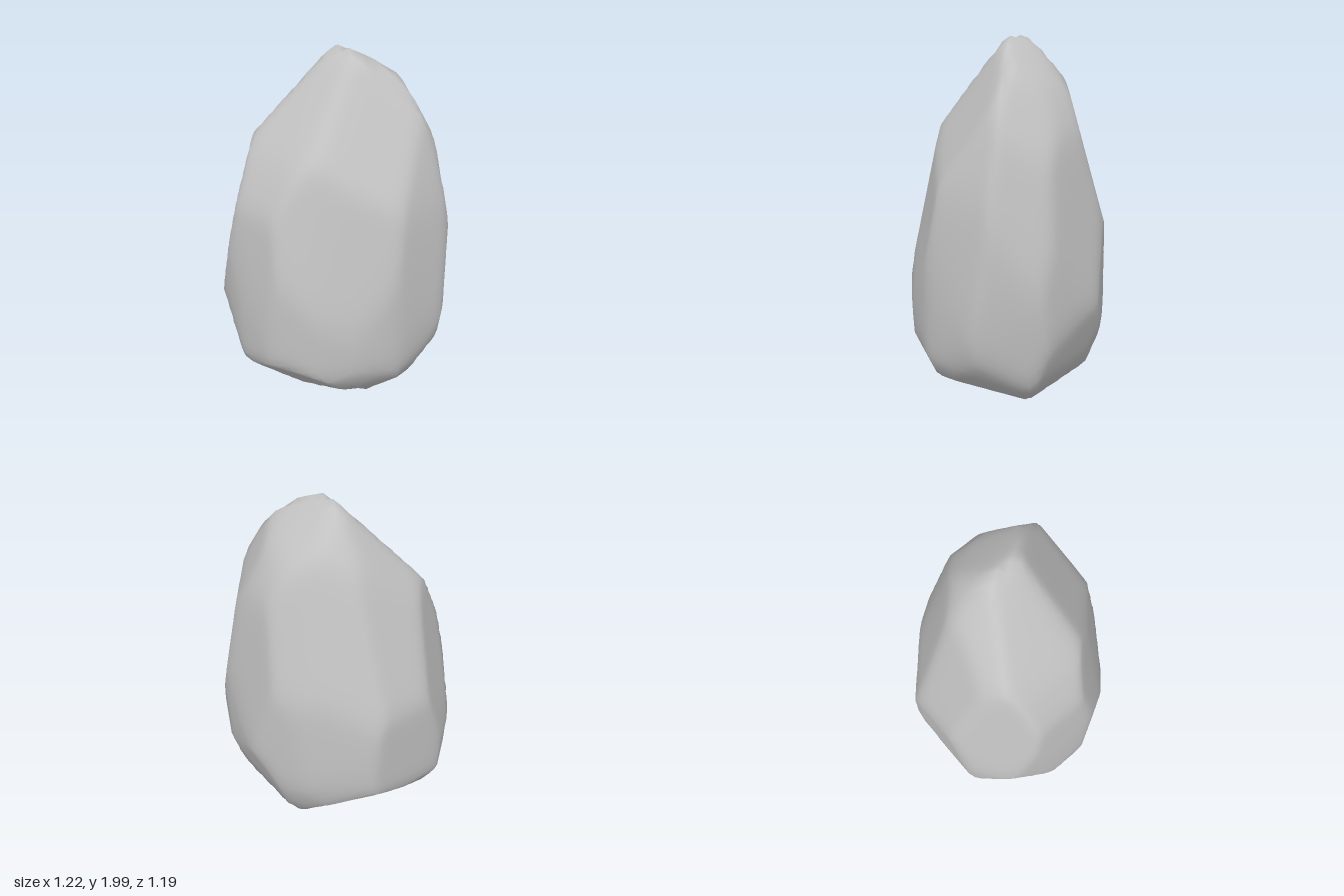
import * as THREE from 'three';
import { mergeVertices } from 'three/addons/utils/BufferGeometryUtils.js';

const SOFTNESS = 40; // higher gives crisper shading between neighbouring cuts

// An outline turned about y and tilted (degrees) carves the stone: each edge between
// its counterclockwise corners, set about the stone's middle, becomes a flat cut
function cutsOf(turn, tilt, corners) {
  const a = THREE.MathUtils.degToRad(turn), e = THREE.MathUtils.degToRad(tilt);
  const right = new THREE.Vector3(Math.cos(a), 0, -Math.sin(a));
  const up = new THREE.Vector3(-Math.sin(e) * Math.sin(a), Math.cos(e), -Math.sin(e) * Math.cos(a));
  return corners.map(([u, v], i) => {
    const [u2, v2] = corners[(i + 1) % corners.length];
    const length = Math.hypot(u2 - u, v2 - v);
    const nu = (v2 - v) / length, nv = (u - u2) / length;
    return {
      normal: right.clone().multiplyScalar(nu).addScaledVector(up, nv),
      distance: Math.max(...corners.map(([x, y]) => nu * x + nv * y)),
    };
  });
}

function stoneCuts() {
  // Upright outlines, across and front to back
  const across = cutsOf(0, 0, [[-0.3, -1], [0.36, -0.96], [0.45, -0.87], [0.605, -0.41], [0.455, 0.53],
    [0.31, 0.82], [0.05, 1], [-0.4, 0.46], [-0.53, 0.2], [-0.615, -0.45], [-0.6, -0.74]]);
  const along = cutsOf(90, 0, [[0.38, -0.98], [0.58, -0.65], [0.6, -0.1], [0.26, 0.81], [0.12, 1],
    [-0.13, 1], [-0.39, 0.7], [-0.53, 0.22], [-0.605, -0.5], [-0.55, -0.81], [-0.3, -1]]);
  // Plan outline
  const plan = cutsOf(0, 90, [[-0.615, -0.05], [-0.42, -0.41], [-0.1, -0.57], [0.25, -0.605], [0.53, -0.39],
    [0.61, 0.02], [0.4, 0.42], [0.2, 0.59], [-0.29, 0.59], [-0.52, 0.43], [-0.61, 0.12]]);
  // Slanting outlines that shape the shoulders and the lower bevels
  const slantA = cutsOf(45, 25, [[0.05, -1.045], [0.43, -0.86], [0.555, -0.55], [0.525, 0.01], [0.29, 0.7],
    [0.1, 0.92], [-0.04, 0.86], [-0.37, 0.5], [-0.57, -0.3], [-0.55, -0.65], [-0.42, -0.9]]);
  const slantB = cutsOf(225, 25, [[-0.07, -1.04], [0.22, -1.02], [0.55, -0.7], [0.56, -0.4], [0.4, 0.36],
    [0.014, 0.961], [-0.1, 0.92], [-0.31, 0.72], [-0.54, 0], [-0.565, -0.4], [-0.52, -0.66]]);
  const slantC = cutsOf(135, -30, [[-0.17, -0.99], [0.2, -0.97], [0.54, -0.81], [0.667, -0.4], [0.45, 0.46],
    [0, 0.93], [-0.33, 0.74], [-0.52, 0.42], [-0.655, -0.2], [-0.58, -0.68], [-0.38, -0.92]]);
  return [...across, ...along, ...plan, ...slantA, ...slantB, ...slantC];
}

// Press a fine ball to the nearest cut and blend the cuts' normals
function stoneGeometry() {
  const cuts = stoneCuts();
  const ball = new THREE.IcosahedronGeometry(1, 24);
  ball.deleteAttribute('uv');
  ball.deleteAttribute('normal');
  const geometry = mergeVertices(ball);
  const position = geometry.attributes.position;
  const normals = [];
  const dir = new THREE.Vector3(), normal = new THREE.Vector3();
  for (let i = 0; i < position.count; i++) {
    dir.fromBufferAttribute(position, i).normalize();
    const nearness = cuts.map((cut) => Math.max(0, cut.normal.dot(dir) / cut.distance));
    const nearest = Math.max(...nearness);
    normal.set(0, 0, 0);
    cuts.forEach((cut, k) => normal.addScaledVector(cut.normal, (nearness[k] / nearest) ** SOFTNESS));
    normals.push(...normal.normalize().toArray());
    dir.divideScalar(nearest);
    position.setXYZ(i, dir.x, dir.y + 1, dir.z);
  }
  geometry.setAttribute('normal', new THREE.Float32BufferAttribute(normals, 3));
  return geometry;
}

export function createModel() {
  const group = new THREE.Group();
  group.name = 'rock';
  const stoneGrey = new THREE.MeshStandardMaterial({ color: 0xc2c2c2 });
  stoneGrey.name = 'stone grey';
  const stone = new THREE.Mesh(stoneGeometry(), stoneGrey);
  stone.name = 'stone';
  group.add(stone);
  return group;
}
